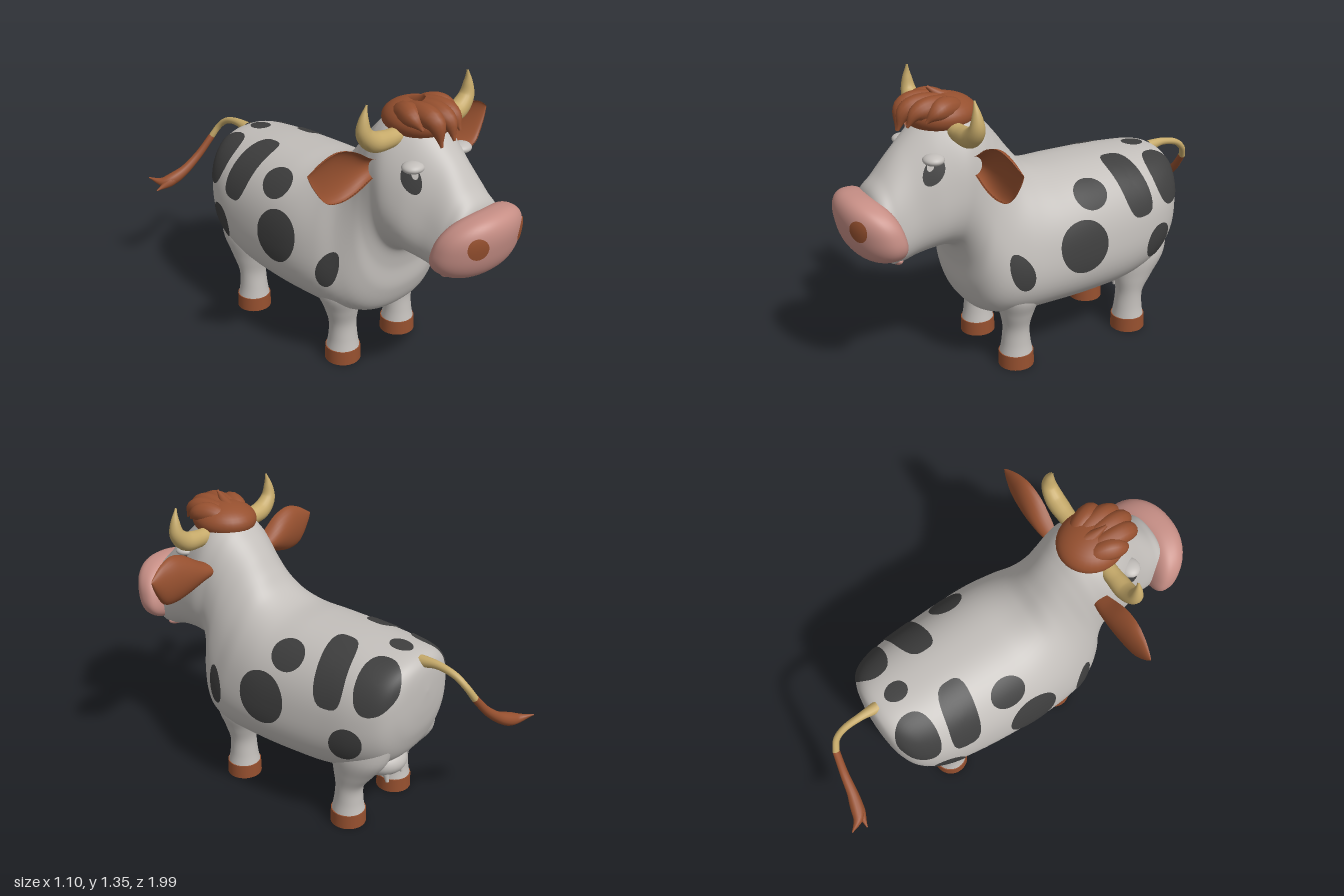
import * as THREE from 'three';
import { mergeVertices } from 'three/addons/utils/BufferGeometryUtils.js';

const mat = (name, color) => new THREE.MeshStandardMaterial({ name, color });
const { sin, cos, abs, pow, PI } = Math;
const V = (x, y, z) => new THREE.Vector3(x, y, z);
// Scale that takes a unit direction onto a superellipse or superellipsoid
const superScale = (d, n) => pow(d.reduce((t, c) => t + pow(abs(c), n), 0), -1 / n);

// Catmull-Rom interpolation through rows of numbers, u in 0..1
const spline = rows => u => {
  const n = rows.length, f = u * (n - 1), i = Math.min(Math.floor(f), n - 2), t = f - i;
  const row = j => rows[Math.max(0, Math.min(n - 1, j))];
  return rows[0].map((_, k) => {
    const a = row(i - 1)[k], b = row(i)[k], c = row(i + 1)[k], d = row(i + 2)[k];
    return b + 0.5 * t * (c - a + t * (2 * a - 5 * b + 4 * c - d + t * (3 * (b - c) + d - a)));
  });
};

// Smooth surface from fn(u, angle); angles turn anticlockwise about the u direction
function grid(fn, nu, nv) {
  const pos = [], idx = [];
  for (let i = 0; i <= nu; i++)
    for (let j = 0; j <= nv; j++) pos.push(...fn(i / nu, (j % nv) / nv * 2 * PI).toArray());
  for (let i = 0; i < nu; i++)
    for (let j = 0; j < nv; j++) {
      const a = i * (nv + 1) + j, b = a + nv + 1;
      idx.push(a, a + 1, b, b, a + 1, b + 1);
    }
  let g = new THREE.BufferGeometry();
  g.setAttribute('position', new THREE.Float32BufferAttribute(pos, 3));
  g.setIndex(idx);
  g = mergeVertices(g, 1e-5);
  g.computeVertexNormals();
  return g;
}

// Thin painted disc (squarer for larger n) following a surface fn(p, q), lifted slightly off it
function patch(fn, lift = 0.005, n = 2) {
  const g = grid((r, t) => {
    const s = r * superScale([cos(t), sin(t)], n);
    return fn(s * cos(t), s * sin(t));
  }, 8, 36);
  const p = g.attributes.position, m = g.attributes.normal;
  for (let i = 0; i < p.count; i++)
    p.setXYZ(i, p.getX(i) + m.getX(i) * lift, p.getY(i) + m.getY(i) * lift, p.getZ(i) + m.getZ(i) * lift);
  return g;
}

// Round tube with changing radius
function taper(points, radii, nu = 28, nv = 14) {
  const curve = new THREE.CatmullRomCurve3(points.map(p => V(...p)));
  const fr = curve.computeFrenetFrames(nu), rad = spline(radii.map(r => [r]));
  return grid((u, a) => {
    const i = Math.round(u * nu), r = Math.max(0.001, rad(u)[0]);
    return curve.getPointAt(u).addScaledVector(fr.normals[i], r * cos(a)).addScaledVector(fr.binormals[i], r * sin(a));
  }, nu, nv);
}

const ball = (c, r) => new THREE.SphereGeometry(1, 32, 20).scale(...r).translate(...c);

function mirrored(g) {
  const m = g.clone(), p = m.attributes.position, n = m.attributes.normal, ix = m.index.array;
  for (let i = 0; i < p.count; i++) { p.setX(i, -p.getX(i)); n.setX(i, -n.getX(i)); }
  for (let i = 0; i < ix.length; i += 3) [ix[i], ix[i + 1]] = [ix[i + 1], ix[i]];
  return m;
}

// Body, neck and head sections: bottom z, bottom y, top z, top y, half width, narrowing towards the top
const bodyAt = spline([
  [-0.655, 0.70, -0.655, 0.70, 0, 0], [-0.647, 0.58, -0.647, 0.80, 0.10, 0], [-0.625, 0.47, -0.625, 0.845, 0.19, 0],
  [-0.57, 0.36, -0.57, 0.868, 0.263, 0.02], [-0.46, 0.29, -0.45, 0.88, 0.312, 0.05], [-0.3, 0.25, -0.3, 0.89, 0.335, 0.08],
  [-0.1, 0.245, -0.1, 0.895, 0.35, 0.11], [0.1, 0.25, 0.05, 0.90, 0.352, 0.14], [0.3, 0.255, 0.15, 0.945, 0.328, 0.21],
  [0.42, 0.29, 0.215, 1.02, 0.285, 0.26], [0.475, 0.40, 0.27, 1.095, 0.25, 0.24], [0.485, 0.52, 0.325, 1.16, 0.228, 0.16],
  [0.51, 0.61, 0.385, 1.215, 0.22, 0.1], [0.56, 0.635, 0.47, 1.245, 0.224, 0.12], [0.62, 0.64, 0.59, 1.215, 0.202, 0.26],
  [0.70, 0.625, 0.72, 1.105, 0.17, 0.3], [0.785, 0.602, 0.81, 1.00, 0.162, 0.2], [0.812, 0.625, 0.87, 0.92, 0.15, 0.1],
  [0.85, 0.78, 0.86, 0.79, 0, 0],
]);
function bodyPoint(u, a) {
  const [zb, yb, zt, yt, w, p] = bodyAt(u), s = superScale([cos(a), sin(a)], 2.35), k = s * sin(a);
  return V(w * (1 - p * k) * s * cos(a), (yb + yt + k * (yt - yb)) / 2, (zb + zt + k * (zt - zb)) / 2);
}
// Point on the body at a given z and angle round the section
function bodyAtZ(z, a) {
  let lo = 0, hi = 1;
  for (let i = 0; i < 30; i++) {
    const m = (lo + hi) / 2;
    if (bodyPoint(m, a).z < z) lo = m; else hi = m;
  }
  return bodyPoint(lo, a);
}
const spot = (z, a, dz, da, skew = 0, n = 2, lift = 0.005) =>
  patch((p, q) => bodyAtZ(z + dz * p + skew * q, a + da * q), lift, n);

// Muzzle: rounded block, bent back at the sides
const N = 2.5;
function muzzlePoint(x, y, z) {
  const X = 0.235 * x * (1 - 0.1 * y);
  return V(X, 0.79 + 0.145 * y, 0.89 + 0.1 * z + 0.03 * y - 0.9 * X * X);
}

export function createModel() {
  const white = mat('hideWhite', 0xc2beba), dark = mat('spotGrey', 0x3e3e3e), brown = mat('brown', 0x96502f),
    pink = mat('muzzlePink', 0xc68e85), horn = mat('hornTan', 0xc6aa6a), sole = mat('soleBrown', 0x40260f);
  const cow = new THREE.Group();
  cow.name = 'cow';
  const add = (name, g, m) => {
    const mesh = new THREE.Mesh(g, m);
    mesh.name = name;
    cow.add(mesh);
  };
  const pair = (name, g, m) => {
    add(name + 'Left', g, m);
    add(name + 'Right', mirrored(g), m);
  };

  add('body', grid(bodyPoint, 144, 72), white);

  // Spots: z, angle, z radius, angle radius, skew, squareness
  [[0.30, -0.27, 0.052, 0.2], [-0.005, 0.055, 0.125, 0.365], [-0.09, 0.72, 0.085, 0.22], [-0.325, 0.76, 0.075, 0.53, 0.025, 3.5],
    [-0.535, 0.69, 0.085, 0.5, 0.015, 2.4], [-0.445, -0.29, 0.074, 0.28]]
    .forEach((s, i) => pair('spot' + (i + 1), spot(...s), dark));
  add('spotBack', spot(-0.51, PI / 2, 0.055, 0.16), dark);

  // Legs: y, centre x, centre z, x radius, z radius
  const legs = {
    front: [[0.06, 0.183, 0.26, 0.078, 0.078], [0.12, 0.183, 0.26, 0.068, 0.067], [0.2, 0.185, 0.26, 0.066, 0.062],
      [0.28, 0.193, 0.26, 0.081, 0.08], [0.38, 0.2, 0.255, 0.104, 0.11], [0.5, 0.18, 0.24, 0.08, 0.12]],
    hind: [[0.06, 0.183, -0.38, 0.078, 0.078], [0.12, 0.183, -0.38, 0.068, 0.068], [0.2, 0.183, -0.385, 0.066, 0.066],
      [0.28, 0.183, -0.405, 0.077, 0.1], [0.38, 0.18, -0.43, 0.09, 0.145], [0.5, 0.165, -0.44, 0.08, 0.16]],
  };
  for (const [name, rows] of Object.entries(legs)) {
    const at = spline(rows);
    pair(name + 'Leg', grid((u, a) => {
      const [y, cx, cz, rx, rz] = at(u);
      return V(cx + rx * sin(a), y, cz + rz * cos(a));
    }, 30, 28), white);
    pair(name + 'Hoof', new THREE.CylinderGeometry(0.081, 0.083, 0.068, 32).translate(0.183, 0.034, rows[0][2]),
      [brown, brown, sole]);
  }

  // Udder
  add('udder', ball([0, 0.275, -0.42], [0.12, 0.08, 0.13]), white);
  pair('frontTeat', taper([[0.05, 0.25, -0.39], [0.054, 0.2, -0.39], [0.056, 0.163, -0.39]], [0.035, 0.018, 0.008], 10), white);
  pair('rearTeat', taper([[0.05, 0.27, -0.48], [0.055, 0.22, -0.497], [0.058, 0.19, -0.505]], [0.035, 0.018, 0.008], 10), white);

  // Muzzle, nostrils and mouth
  add('muzzle', grid((u, a) => {
    const d = [sin(PI * u) * sin(a), -cos(PI * u), sin(PI * u) * cos(a)];
    const s = superScale(d, N);
    return muzzlePoint(...d.map(c => c * s));
  }, 40, 56), pink);
  pair('nostril', patch((p, q) => {
    const x = 0.58 + 0.18 * q + 0.04 * p, y = 0.24 + 0.33 * p;
    return muzzlePoint(x, y, pow(1 - pow(abs(x), N) - pow(abs(y), N), 1 / N));
  }, 0.004), brown);
  add('mouth', ball([0, 0.69, 0.775], [0.155, 0.045, 0.035]), brown);
  add('lowerLip', ball([0, 0.637, 0.785], [0.133, 0.036, 0.036]), pink);

  // Eyes under soft lids
  pair('eye', spot(0.63, 0.4, 0.045, 0.18), dark);
  pair('eyeGlint', spot(0.637, 0.5, 0.015, 0.07, 0, 2, 0.009), white);
  pair('eyelid', ball([0.148, 1.072, 0.622], [0.05, 0.024, 0.046]), white);

  // Horns
  pair('horn', taper([[0.1, 1.168, 0.505], [0.2, 1.168, 0.505], [0.265, 1.182, 0.505], [0.312, 1.23, 0.505],
    [0.316, 1.295, 0.507], [0.304, 1.35, 0.51]], [0.038, 0.04, 0.044, 0.038, 0.023, 0.004], 36, 20), horn);

  // Ears, hollow at the front: x, top y, bottom y, depth
  const earAt = spline([[0.18, 1.06, 1.0, 0.045], [0.24, 1.09, 0.985, 0.06], [0.32, 1.14, 0.955, 0.063],
    [0.40, 1.163, 0.94, 0.052], [0.47, 1.147, 0.958, 0.035], [0.525, 1.115, 1.035, 0.016], [0.55, 1.097, 1.092, 0.002]]);
  pair('ear', grid((u, a) => {
    const [x, yt, yb, d] = earAt(u), s = sin(a);
    return V(x, (yt + yb) / 2 + (yt - yb) / 2 * cos(a), 0.433 + 0.6 * d - d * abs(s) * (s > 0 ? 0.75 : 1.2));
  }, 36, 32), brown);

  // Hair: a cap with broad locks swept forward and a tuft
  add('hairCap', ball([0, 1.215, 0.505], [0.143, 0.085, 0.155]), brown);
  [[-0.1, 1.215, 0.625], [-0.055, 1.15, 0.69], [0, 1.17, 0.708], [0.055, 1.195, 0.69], [0.1, 1.215, 0.625]]
    .forEach(([x, y, z], i) => add('hairLock' + (i + 1), taper([[x * 0.5, 1.235, 0.42], [x * 0.85, 1.258, 0.53],
      [x * 1.05, 1.248, z - 0.04], [x, y, z]], [0.02, 0.046, 0.045, 0.006], 24), brown));
  add('hairTuft', taper([[0, 1.25, 0.45], [-0.01, 1.29, 0.51], [-0.018, 1.332, 0.56]], [0.04, 0.025, 0.006], 16), brown);

  // Tail and brush
  add('tail', taper([[0, 0.835, -0.61], [0, 0.842, -0.70], [0, 0.822, -0.785], [-0.01, 0.78, -0.835], [-0.04, 0.72, -0.865]],
    [0.028, 0.019, 0.016, 0.015, 0.016]), horn);
  add('tailBrush', taper([[-0.037, 0.725, -0.863], [-0.12, 0.63, -0.885], [-0.22, 0.555, -0.905], [-0.3, 0.525, -0.935],
    [-0.35, 0.545, -0.995]], [0.017, 0.019, 0.024, 0.03, 0.003]), brown);
  add('tailBrushTip', taper([[-0.2, 0.565, -0.9], [-0.28, 0.525, -0.915], [-0.355, 0.495, -0.925]], [0.018, 0.026, 0.003], 16), brown);

  return cow;
}
